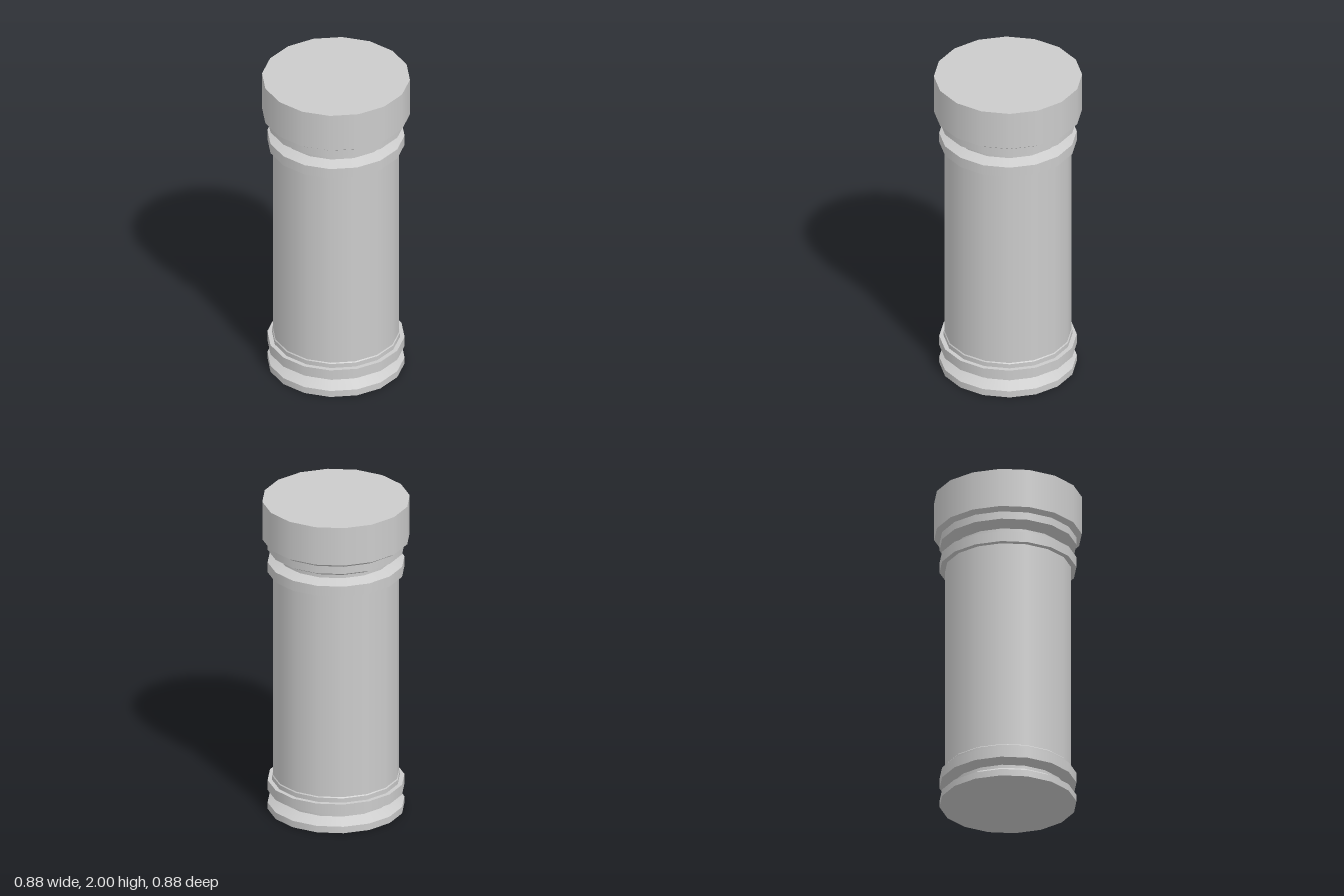
import * as THREE from 'three';
import { mergeGeometries } from 'three/addons/utils/BufferGeometryUtils.js';

const SIDES = 16;
const material = new THREE.MeshStandardMaterial({ color: 0xcccccc });

// Turns a [radius, height] profile, listed bottom to top. Each band is its own
// lathe, so it is smooth around the axis and sharp between bands.
function turned(name, profile) {
  const points = profile.map(([r, y]) => new THREE.Vector2(r, y));
  const bands = points.slice(1).map((p, i) => new THREE.LatheGeometry([points[i], p], SIDES));
  const mesh = new THREE.Mesh(mergeGeometries(bands), material);
  mesh.name = name;
  return mesh;
}

export function createModel() {
  const column = new THREE.Group();
  column.name = 'column';
  column.add(
    // Foot disc, narrow neck and lower ring
    turned('base', [
      [0, 0], [0.41, 0], [0.41, 0.042], [0.345, 0.08], [0.345, 0.1],
      [0.41, 0.123], [0.41, 0.187], [0.383, 0.187],
    ]),
    // Plain drum with a fine step near its foot
    turned('shaft', [[0.383, 0.187], [0.383, 0.215], [0.378, 0.221], [0.378, 1.54]]),
    // Upper ring, neck and moulding
    turned('neckMoulding', [
      [0.378, 1.54], [0.41, 1.54], [0.41, 1.605], [0.345, 1.632], [0.345, 1.653],
      [0.41, 1.687], [0.41, 1.735],
    ]),
    // Wide flat-topped drum
    turned('capital', [[0.41, 1.735], [0.442, 1.756], [0.442, 2], [0, 2]]),
  );
  return column;
}
